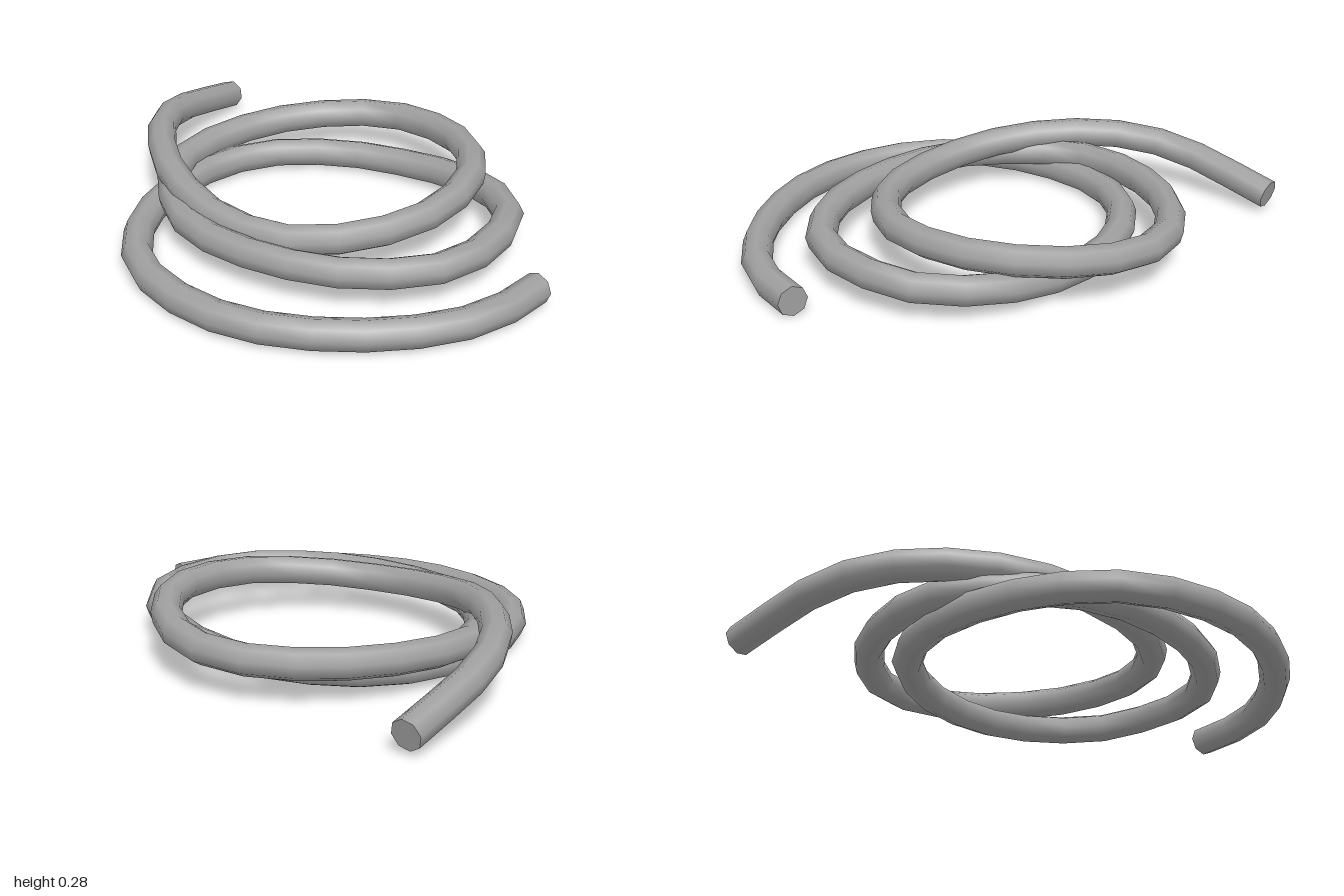
import * as THREE from 'three';

const RADIUS = 0.063, SIDES = 8, STEPS = 60;

// Centre line of the coiled cable, from the lower loose end to the upper one
const PATH = [
  [0.89, 0.066, 0.42], [0.73, 0.066, 0.67], [0.42, 0.066, 0.86], [0, 0.066, 0.937],
  [-0.32, 0.066, 0.87], [-0.6, 0.066, 0.67], [-0.72, 0.066, 0.45], [-0.75, 0.066, 0.17],
  [-0.7, 0.066, -0.07], [-0.6, 0.066, -0.27], [-0.39, 0.066, -0.44], [-0.1, 0.066, -0.505],
  [0.14, 0.07, -0.48], [0.37, 0.085, -0.4], [0.58, 0.11, -0.25], [0.71, 0.13, -0.03],
  [0.71, 0.142, 0.17], [0.58, 0.148, 0.46], [0.36, 0.148, 0.59], [0.13, 0.148, 0.63],
  [-0.2, 0.146, 0.575], [-0.49, 0.142, 0.42], [-0.66, 0.14, 0.18], [-0.73, 0.142, -0.08],
  [-0.65, 0.148, -0.34], [-0.42, 0.155, -0.6], [-0.13, 0.162, -0.735], [0.1, 0.172, -0.735],
  [0.33, 0.19, -0.6], [0.49, 0.212, -0.37], [0.535, 0.218, -0.1], [0.43, 0.205, 0.2],
  [0.19, 0.18, 0.4], [-0.1, 0.164, 0.467], [-0.4, 0.18, 0.38], [-0.63, 0.21, 0.19],
  [-0.79, 0.226, -0.06], [-0.88, 0.215, -0.32], [-0.89, 0.178, -0.56], [-0.785, 0.08, -0.98],
];

// Flat cap closing one ring of the tube
function endCap(tube, ring, reverse, material, name) {
  const p = tube.attributes.position, points = [];
  for (let i = 0; i < SIDES; i++) {
    points.push(new THREE.Vector3().fromBufferAttribute(p, ring * (SIDES + 1) + i));
  }
  if (reverse) points.reverse();
  const fan = [];
  for (let i = 1; i < SIDES - 1; i++) fan.push(points[0], points[i], points[i + 1]);
  const geometry = new THREE.BufferGeometry().setFromPoints(fan);
  geometry.computeVertexNormals();
  const mesh = new THREE.Mesh(geometry, material);
  mesh.name = name;
  return mesh;
}

export function createModel() {
  const group = new THREE.Group();
  group.name = 'coiledCable';
  const material = new THREE.MeshStandardMaterial({ color: 0xa0a0a0 });
  material.name = 'grey';

  // Cable body: three loops stacked on one another
  const curve = new THREE.CatmullRomCurve3(PATH.map((p) => new THREE.Vector3(...p)), false, 'centripetal');
  const tube = new THREE.TubeGeometry(curve, STEPS, RADIUS, SIDES, false);
  const cable = new THREE.Mesh(tube, material);
  cable.name = 'cable';

  // Closed ends
  group.add(
    cable,
    endCap(tube, 0, false, material, 'lowerEnd'),
    endCap(tube, STEPS, true, material, 'upperEnd'),
  );
  return group;
}
